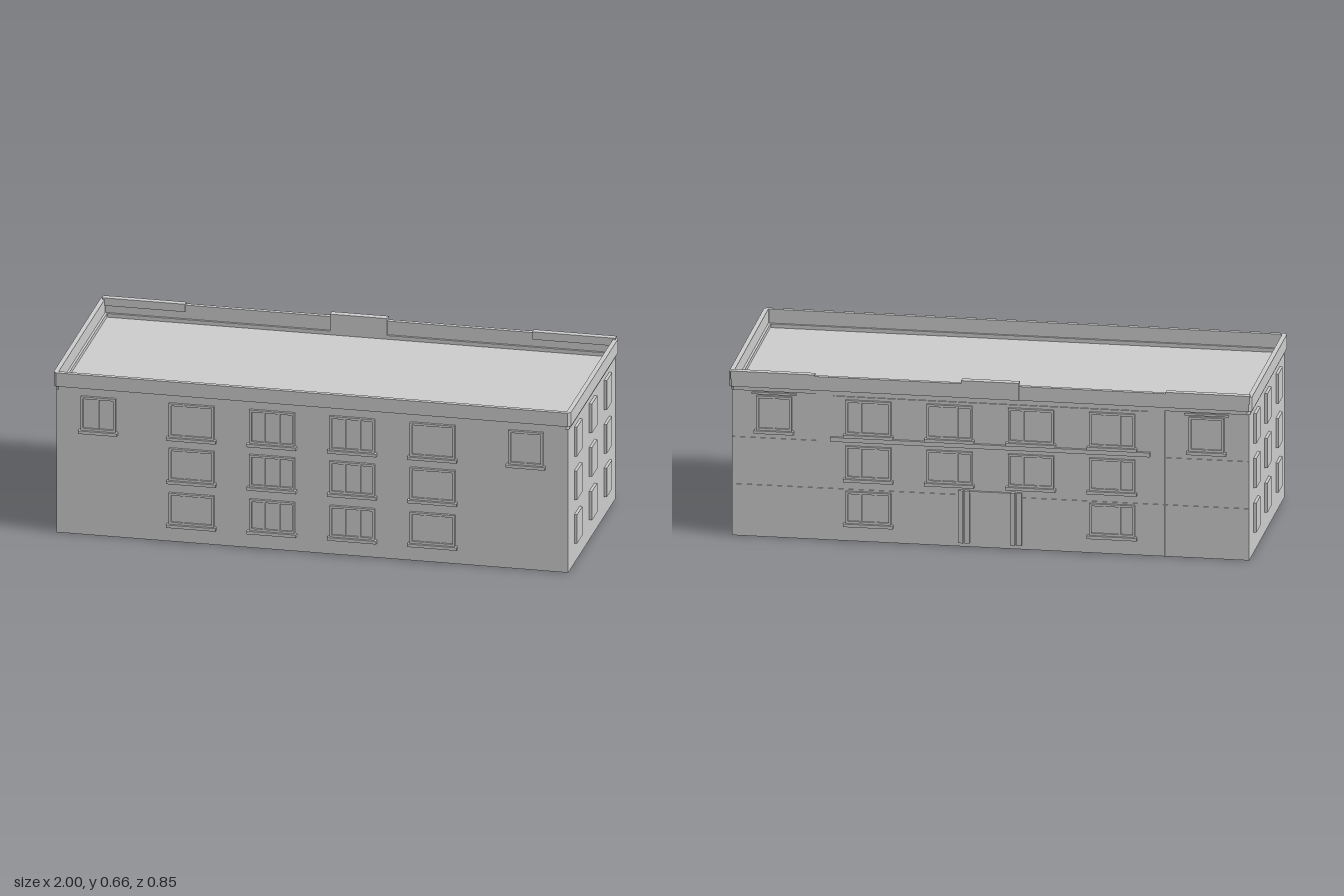
import * as THREE from 'three';

const stone = new THREE.MeshStandardMaterial({ color: 0xcccccc });
stone.name = 'plain grey';

// Box given by its limits on each axis
function box(parent, name, x0, x1, y0, y1, z0, z1) {
  const mesh = new THREE.Mesh(new THREE.BoxGeometry(x1 - x0, y1 - y0, z1 - z0), stone);
  mesh.position.set((x0 + x1) / 2, (y0 + y1) / 2, (z0 + z1) / 2);
  mesh.name = name;
  parent.add(mesh);
  return mesh;
}

// Rectangular outline with small cut corners
function outline(Type, x, z, cut) {
  const p = [[x, z - cut], [x - cut, z], [cut - x, z], [-x, z - cut],
    [-x, cut - z], [cut - x, -z], [x - cut, -z], [x, cut - z]];
  return new Type(p.map(([a, b]) => new THREE.Vector2(a, b)));
}

// Hollow rim around the roof
function rim(parent, name, x, z, thickness, y0, y1) {
  const shape = outline(THREE.Shape, x, z, 0.012);
  shape.holes.push(outline(THREE.Path, x - thickness, z - thickness, 0.002));
  const geo = new THREE.ExtrudeGeometry(shape, { depth: y1 - y0, bevelEnabled: false });
  geo.rotateX(-Math.PI / 2);
  geo.translate(0, y0, 0);
  const mesh = new THREE.Mesh(geo, stone);
  mesh.name = name;
  parent.add(mesh);
}

// Framed window with mullions and a sill; local z = 0 is the wall face
function framedWindow(width, height, panes) {
  const g = new THREE.Group();
  g.name = 'window';
  const w = width / 2 - 0.008, f = 0.009;
  box(g, 'glass', -w + 0.002, w - 0.002, 0.002, height - 0.002, -0.005, 0.004);
  for (const s of [-1, 1]) {
    box(g, 'frameSide', s * (w - f / 2) - f / 2, s * (w - f / 2) + f / 2, 0, height, -0.005, 0.011);
  }
  box(g, 'frameTop', -w + f, w - f, height - f, height, -0.005, 0.011);
  box(g, 'frameBottom', -w + f, w - f, 0, f, -0.005, 0.011);
  for (let i = 1; i < panes; i++) {
    const x = -w + (2 * w * i) / panes;
    box(g, 'mullion', x - 0.004, x + 0.004, f, height - f, -0.005, 0.009);
  }
  box(g, 'sill', -width / 2, width / 2, -0.012, 0, -0.005, 0.02);
  return g;
}

export function createModel() {
  const model = new THREE.Group();
  model.name = 'building';

  // Main block; the middle of the rear stands slightly proud
  box(model, 'walls', -0.987, 0.987, 0, 0.575, -0.403, 0.405);
  box(model, 'rearCentre', -0.665, 0.665, 0.001, 0.575, -0.406, -0.4);

  // Roof edge
  rim(model, 'cornice', 0.991, 0.409, 0.02, 0.575, 0.59);
  rim(model, 'parapet', 0.998, 0.416, 0.018, 0.59, 0.645);
  for (const s of [-1, 1]) {
    box(model, 'raisedParapetEnd', s * 0.83 - 0.16, s * 0.83 + 0.16, 0.62, 0.651, -0.4165, -0.39);
  }
  box(model, 'raisedParapetCentre', -0.11, 0.11, 0.59, 0.658, -0.418, -0.389);

  // Front and rear windows, floor by floor
  const floors = [[0.072, 0.125], [0.248, 0.128], [0.422, 0.135]];
  for (const side of [1, -1]) {
    const face = new THREE.Group();
    face.name = side > 0 ? 'frontWindows' : 'rearWindows';
    if (side < 0) face.rotation.y = Math.PI;
    floors.forEach(([y, h], floor) => {
      for (const x of [-0.825, -0.465, -0.155, 0.155, 0.465, 0.825]) {
        const end = Math.abs(x) > 0.8;
        if (end && floor < 2) continue;
        if (side < 0 && floor === 0 && Math.abs(x) < 0.2) continue;
        const win = framedWindow(end ? 0.15 : 0.19, h, end ? 2 : 3);
        win.position.set(x, y, end && side < 0 ? 0.403 : 0.405);
        face.add(win);
      }
    });
    model.add(face);
  }

  // Plain panels on the end walls
  for (const s of [-1, 1]) {
    for (const [y, h] of [[0.08, 0.116], [0.255, 0.117], [0.43, 0.118]]) {
      for (const z of [-0.255, 0, 0.255]) {
        box(model, 'sideWindow', s * 0.99 - 0.008, s * 0.99 + 0.008, y, y + h, z - 0.046, z + 0.046);
      }
    }
  }

  // Rear string courses and window heads
  for (const s of [-1, 1]) {
    for (const y of [0.2, 0.386]) {
      box(model, 'endCourse', s * 0.826 - 0.16, s * 0.826 + 0.16, y, y + 0.004, -0.406, -0.4);
    }
    box(model, 'lowerCourse', s * 0.395 - 0.27, s * 0.395 + 0.27, 0.2, 0.205, -0.409, -0.4);
    box(model, 'endWindowHead', s * 0.825 - 0.085, s * 0.825 + 0.085, 0.562, 0.57, -0.409, -0.4);
  }
  box(model, 'upperLedge', -0.61, 0.61, 0.392, 0.409, -0.418, -0.4);
  box(model, 'upperWindowHead', -0.6, 0.6, 0.562, 0.57, -0.411, -0.4);

  // Rear entrance: paired posts, lintel and door
  const entrance = new THREE.Group();
  entrance.name = 'entrance';
  for (const s of [-1, 1]) {
    for (const x of [0.087, 0.112]) {
      box(entrance, 'post', s * x - 0.009, s * x + 0.009, 0.018, 0.225, -0.422, -0.4);
    }
  }
  box(entrance, 'lintel', -0.078, 0.078, 0.212, 0.222, -0.414, -0.4);
  box(entrance, 'door', -0.076, 0.076, 0.018, 0.212, -0.409, -0.4);
  model.add(entrance);

  return model;
}
